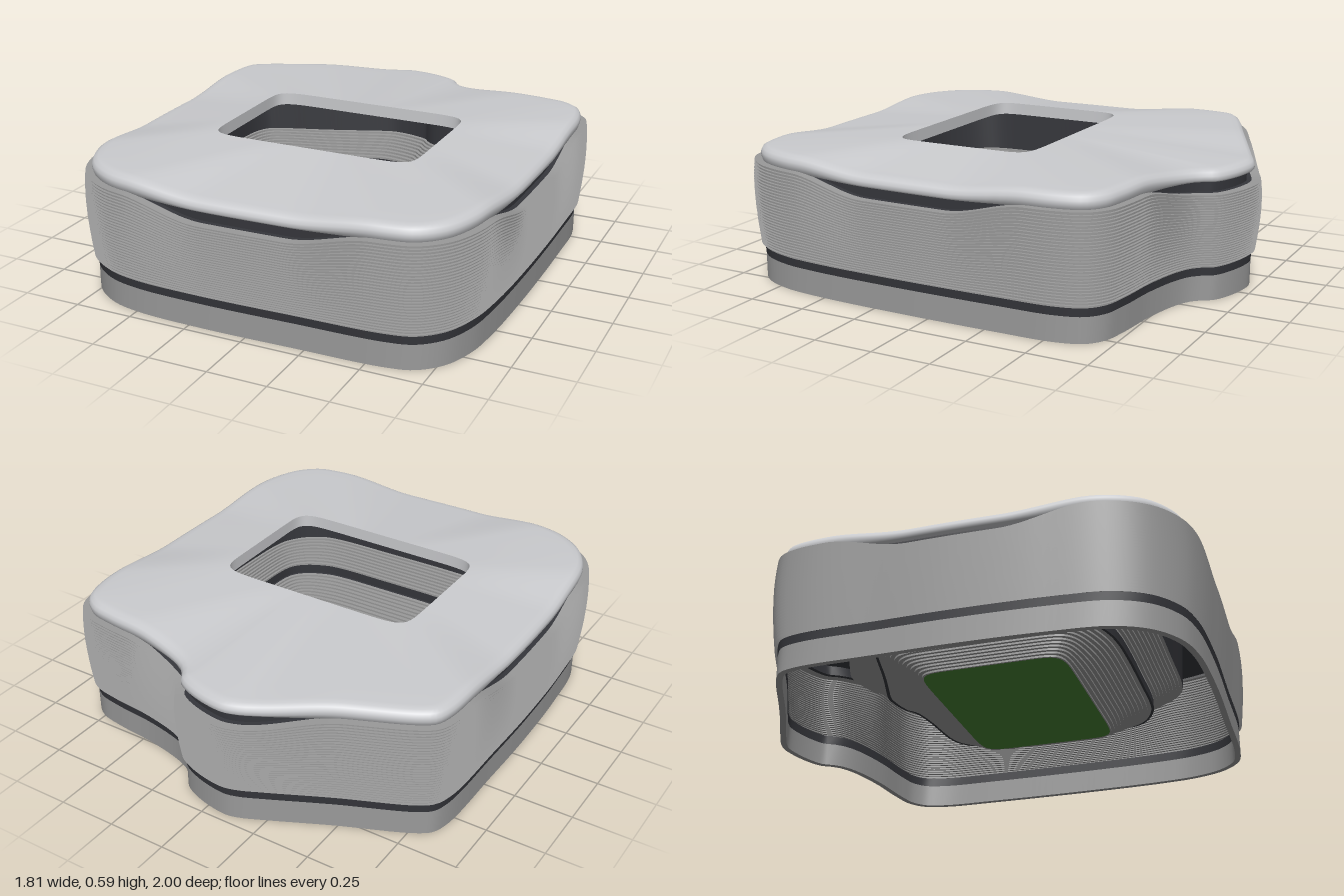
import * as THREE from 'three';
import { mergeGeometries } from 'three/addons/utils/BufferGeometryUtils.js';

const N = 220;            // samples around the building
const CZ = 0.1;           // z of the pitch centre
const PITCH_Y = 0.1;

const material = (name, color) =>
  new THREE.MeshStandardMaterial({ name, color, side: THREE.DoubleSide });

// Plan outline, from the rear peak round by the left side
const plan = [
  [-0.09, -1], [0.06, -0.975], [0.165, -0.925], [0.213, -0.86], [0.28, -0.825], [0.45, -0.785],
  [0.65, -0.762], [0.77, -0.735], [0.85, -0.67], [0.89, -0.55], [0.9, -0.3], [0.9, 0.2],
  [0.885, 0.55], [0.86, 0.72], [0.8, 0.86], [0.7, 0.95], [0.58, 0.98], [0.2, 0.993],
  [-0.2, 1], [-0.5, 0.985], [-0.65, 0.945], [-0.78, 0.85], [-0.86, 0.7], [-0.89, 0.45],
  [-0.903, 0.1], [-0.9, -0.2], [-0.89, -0.55], [-0.86, -0.64], [-0.8, -0.69], [-0.5, -0.825],
  [-0.25, -0.945], [-0.16, -0.985],
];
const curve = new THREE.CatmullRomCurve3(
  plan.map(([x, z]) => new THREE.Vector3(x, 0, z)), true, 'centripetal');
const outline = curve.getSpacedPoints(N).slice(0, N);

// For each sample: outward normal, opening point and how far the eaves dip mid-side
const samples = outline.map((p, i) => {
  const t = outline[(i + 1) % N].clone().sub(outline[(i + N - 1) % N]).normalize();
  const a = Math.atan2(p.z - CZ, p.x), c = Math.cos(a), s = Math.sin(a);
  const r = (Math.abs(c / 0.45) ** 10 + Math.abs(s / 0.312) ** 10) ** (-1 / 10);
  const fade = (v) => 1 - THREE.MathUtils.smoothstep(v, 0.18, 0.54);
  const dip = Math.abs(p.z) > 0.72 ? fade(Math.abs(p.x)) : fade(Math.abs(p.z - CZ));
  return { x: p.x, z: p.z, nx: t.z, nz: -t.x, ox: c * r, oz: CZ + s * r, dip };
});

// Ring following the outline at an offset; y may depend on the dip
const wall = (offset, y) => samples.map((q) => new THREE.Vector3(
  q.x + q.nx * offset, typeof y === 'function' ? y(q.dip) : y, q.z + q.nz * offset));
// Ring between the opening (t = 0) and an outer ring (t = 1)
const between = (outer, t, y) => samples.map((q, i) => new THREE.Vector3(
  THREE.MathUtils.lerp(q.ox, outer[i].x, t),
  y === undefined ? outer[i].y : y,
  THREE.MathUtils.lerp(q.oz, outer[i].z, t)));

// Smooth closed surface through a list of rings
function loft(rings) {
  const pos = [], idx = [];
  rings.forEach((ring) => ring.forEach((v) => pos.push(v.x, v.y, v.z)));
  for (let k = 0; k < rings.length - 1; k++) {
    for (let i = 0; i < N; i++) {
      const a = k * N + i, b = k * N + (i + 1) % N;
      idx.push(a, a + N, b, b, a + N, b + N);
    }
  }
  const g = new THREE.BufferGeometry();
  g.setAttribute('position', new THREE.Float32BufferAttribute(pos, 3));
  g.setIndex(idx);
  g.computeVertexNormals();
  return g;
}
// Sharp edges between successive rings
const bands = (rings) => mergeGeometries(rings.slice(1).map((r, i) => loft([rings[i], r])));
// One slat face, shaded smoothly with the wall it follows
function slat(low, top) {
  const g = loft([low, top]);
  samples.forEach((q, i) => {
    g.attributes.normal.setXYZ(i, q.nx, 0, q.nz);
    g.attributes.normal.setXYZ(i + N, q.nx, 0, q.nz);
  });
  return g;
}

export function createModel() {
  const group = new THREE.Group();
  const roofWhite = material('roof pale grey', 0xcacbce);
  const grey = material('concrete grey', 0x9a9a9a);
  const dark = material('dark grey', 0x35363b);
  const grass = material('grass green', 0x478033);
  const white = material('line white', 0xf0f2f0);
  const add = (name, geometry, mat) => {
    const mesh = new THREE.Mesh(geometry, mat);
    mesh.name = name;
    group.add(mesh);
  };

  // Base plinth, open underneath, with the dark band above it
  add('basePlinth', bands([wall(-0.06, 0.1), wall(-0.06, 0), wall(-0.035, 0), wall(-0.035, 0.105)]), grey);
  add('baseBand', bands([
    wall(-0.035, 0.105), wall(-0.032, 0.14), wall(-0.06, 0.14), wall(-0.06, 0.1)]), dark);

  // Facade of tilted horizontal slats joined by ledges, dipping mid-side
  const SLATS = 30, slats = [];
  const facadeY = (t) => (dip) => 0.14 + t * (0.37 - 0.065 * dip);
  const bulge = (t) => 0.006 - 0.026 * (1 - t) ** 2 - 0.012 * t ** 4;
  for (let k = 0; k < SLATS; k++) {
    const t0 = k / SLATS, t1 = (k + 1) / SLATS;
    const top = wall(bulge(t1), facadeY(t1));
    slats.push(slat(wall(bulge(t0) - 0.011, facadeY(t0)), top));
    slats.push(loft([top, wall(bulge(t1) - 0.011, facadeY(t1))]));
  }
  add('facadeSlats', mergeGeometries(slats), grey);

  // Grey coping on the facade and the dark recess below the roof
  const eaves = (drop) => (dip) => 0.57 - 0.03 * dip - drop;
  const soffit = (dip) => 0.502 - 0.012 * dip;
  add('facadeCoping', loft([wall(-0.017, facadeY(1)), wall(-0.045, facadeY(1))]), grey);
  add('eavesGap', bands([wall(-0.045, facadeY(1)), wall(-0.065, facadeY(1)), wall(-0.065, eaves(0.045))]), dark);

  // Roof shell: rounded edge, then a gentle rise to the opening
  const edge = wall(-0.085, eaves(0));
  const rise = [];
  for (let k = 1; k <= 8; k++) {
    const s = k / 8, ring = between(edge, 1 - s);
    ring.forEach((v) => { v.y += (0.592 - v.y) * s; });
    rise.push(ring);
  }
  add('roof', loft([
    wall(-0.065, soffit), wall(-0.042, soffit), wall(-0.034, eaves(0.042)),
    wall(-0.035, eaves(0.027)), wall(-0.043, eaves(0.012)), wall(-0.06, eaves(0.003)), edge, ...rise,
  ]), roofWhite);
  add('openingRim', loft([between(edge, 0, 0.592), between(edge, 0, 0.54)]), roofWhite);
  add('roofUnderside', loft([between(edge, 0, 0.54), wall(-0.065, soffit)]), dark);

  // Seating bowl: two stepped tiers, a dark concourse and a dark rear wall
  const bowlEdge = wall(-0.06, 0);
  const steps = [];
  const tier = (t0, y0, t1, y1, count) => {
    for (let k = 0; k < count; k++) {
      const ta = t0 + (t1 - t0) * k / count, tb = t0 + (t1 - t0) * (k + 1) / count;
      const ya = y0 + (y1 - y0) * k / count, yb = y0 + (y1 - y0) * (k + 1) / count;
      steps.push(bands([
        between(bowlEdge, ta, ya), between(bowlEdge, ta, yb), between(bowlEdge, tb, yb)]));
    }
  };
  tier(0, PITCH_Y, 0.36, 0.19, 11);
  tier(0.38, 0.23, 0.62, 0.31, 9);
  add('seatingSteps', mergeGeometries(steps), grey);
  add('concourse', bands([
    between(bowlEdge, 0.36, 0.19), between(bowlEdge, 0.38, 0.19), between(bowlEdge, 0.38, 0.23)]), dark);
  add('bowlRearWall', bands([between(bowlEdge, 0.62, 0.31), between(bowlEdge, 0.64, 0.52)]), dark);

  // Pitch with a narrow grey surround
  const surround = between(bowlEdge, 0, PITCH_Y);
  const centre = samples.map(() => new THREE.Vector3(0, PITCH_Y, CZ));
  const pitchEdge = surround.map((v, i) => v.clone().lerp(centre[i], 0.018));
  add('pitchSurround', loft([surround, pitchEdge]), grey);
  add('pitch', loft([pitchEdge, centre]), grass);

  // Pitch markings: [x, z, width, depth]
  const W = 0.005;
  const marks = [
    [0.297, CZ, W, 0.34], [0.385, CZ, W, 0.15],
    [0.412, 0.028, 0.055, W], [0.412, 0.177, 0.055, W],
    [-0.41, 0.028, 0.05, W], [-0.41, 0.177, 0.05, W],
  ].map(([x, z, w, d]) => new THREE.BoxGeometry(w, 0.003, d).translate(x, PITCH_Y + 0.002, z));
  add('pitchLines', mergeGeometries(marks), white);
  add('centreCircle', new THREE.RingGeometry(0.073, 0.077, 48)
    .rotateX(-Math.PI / 2).translate(0, PITCH_Y + 0.003, CZ), white);

  return group;
}
